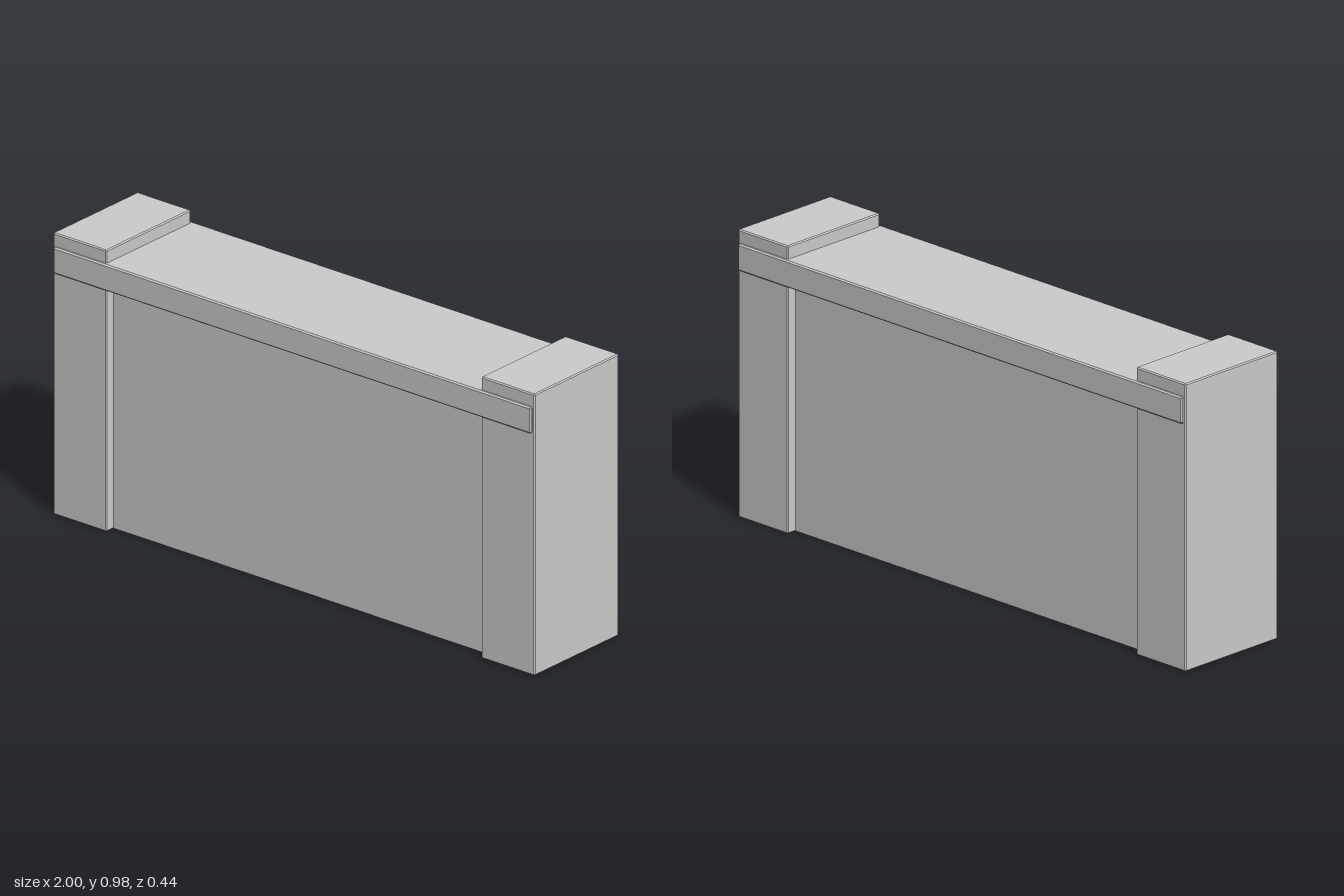
import * as THREE from 'three';
import { ConvexGeometry } from 'three/addons/geometries/ConvexGeometry.js';

const material = new THREE.MeshStandardMaterial({ color: 0xcccccc, flatShading: true });

// Box with every edge chamfered by c, standing on y0
function chamferBox(name, w, h, d, x, y0, c) {
  const points = [];
  for (const sx of [-1, 1]) for (const sy of [-1, 1]) for (const sz of [-1, 1]) {
    for (let axis = 0; axis < 3; axis++) {
      // each corner becomes three points, one per face
      const size = [w, h, d].map((s, i) => s / 2 - (i === axis ? 0 : c));
      points.push(new THREE.Vector3(sx * size[0], sy * size[1], sz * size[2]));
    }
  }
  const mesh = new THREE.Mesh(new ConvexGeometry(points), material);
  mesh.name = name;
  mesh.position.set(x, y0 + h / 2, 0);
  return mesh;
}

export function createModel() {
  const model = new THREE.Group();
  model.name = 'wallSegment';

  // End pillars, taller than the wall between them
  for (const side of [-1, 1]) {
    model.add(chamferBox(side > 0 ? 'leftPillar' : 'rightPillar',
      0.222, 0.98, 0.42, side * 0.889, 0, 0.004));
  }

  // Recessed wall panel, running into both pillars
  const panel = new THREE.Mesh(new THREE.BoxGeometry(1.64, 0.898, 0.35), material);
  panel.name = 'wallPanel';
  panel.position.y = 0.451;
  model.add(panel);

  // Coping rail across the whole width, proud of the pillars front and back
  model.add(chamferBox('copingRail', 1.984, 0.092, 0.44, 0, 0.843, 0.005));

  return model;
}
